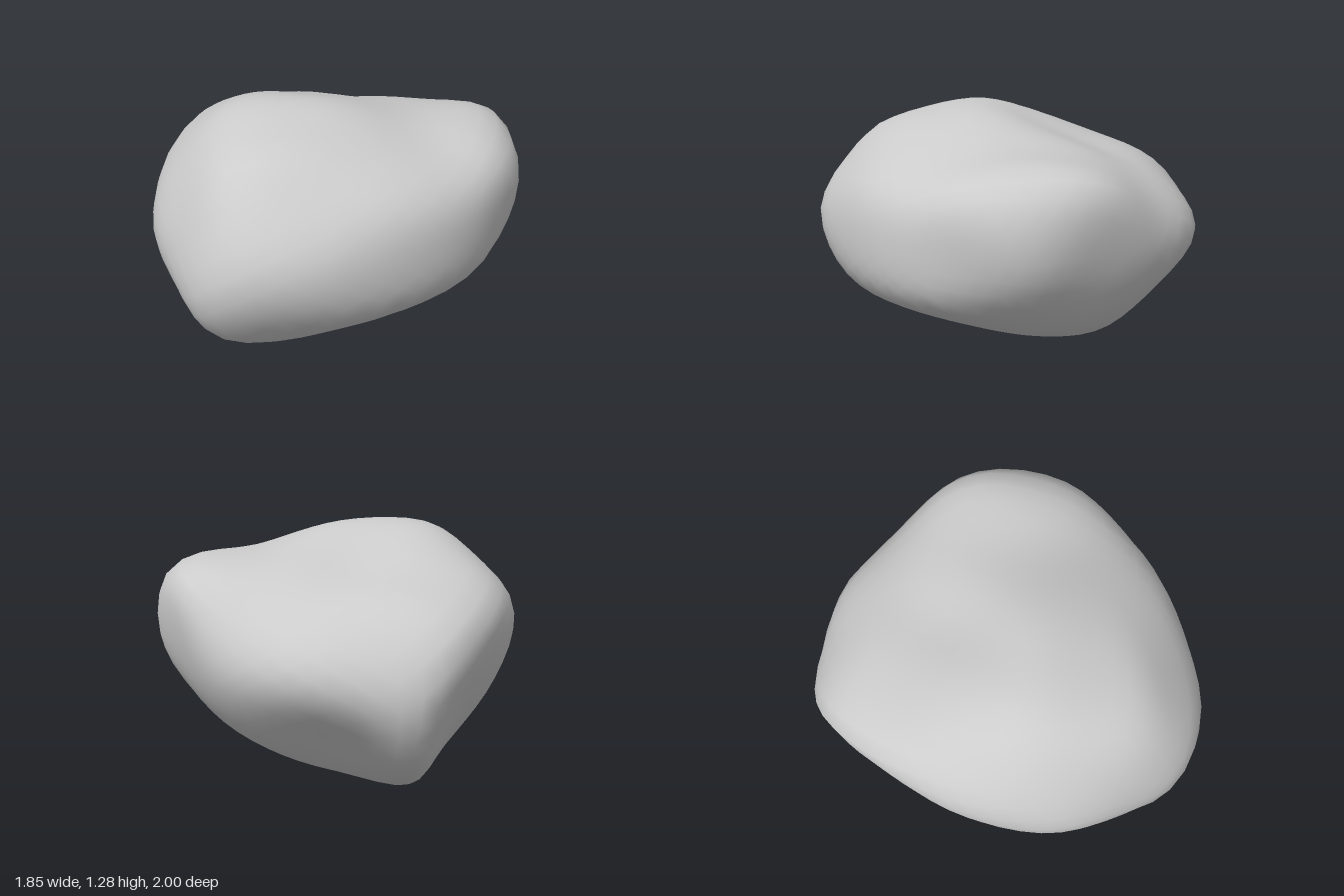
import * as THREE from 'three';
import { mergeVertices } from 'three/addons/utils/BufferGeometryUtils.js';

const HALF_HEIGHT = 0.645;
const POWER = 10; // higher gives sharper transitions between the worn faces

// Distance from the boulder's centre to its outline's tangent, every 22.5 degrees from the right, seen from a few sides
const OUTLINES = [
  { azimuth: 0, elevation: 0, reach: [.925, .945, .873, .703, .645, .752, .831, .922,
    .93, .868, .795, .74, .645, .57, .682, .82] },
  { azimuth: 90, elevation: 0, reach: [1, .924, .781, .602, .645, .721, .824, .966,
    1, .948, .795, .641, .645, .747, .894, .973] },
  { azimuth: 0, elevation: 90, reach: [.925, .89, .891, .942, 1, 1.04, .983, .904,
    .93, .983, 1.082, 1.078, 1, .881, .827, .879] },
  { azimuth: 45, elevation: 25, reach: [.89, .873, .792, .667, .69, .795, .87, .963,
    1.06, 1.056, .94, .759, .54, .614, .721, .82] },
  { azimuth: 225, elevation: 25, reach: [1.05, 1.013, .933, .805, .67, .793, .905, .938,
    .89, .852, .764, .799, .81, .789, .87, .994] },
  { azimuth: 135, elevation: -25, reach: [.98, .99, .884, .706, .71, .841, .891, .883,
    .85, .816, .757, .74, .79, .789, .785, .854] },
];

// Tangent planes all round one outline
function tangentPlanes({ azimuth, elevation, reach }) {
  const a = THREE.MathUtils.degToRad(azimuth), e = THREE.MathUtils.degToRad(elevation);
  const right = new THREE.Vector3(Math.cos(a), 0, -Math.sin(a));
  const up = new THREE.Vector3(-Math.sin(a) * Math.sin(e), Math.cos(e), -Math.cos(a) * Math.sin(e));
  return reach.map((r, i) => {
    const t = i * Math.PI / 8;
    const normal = right.clone().multiplyScalar(Math.cos(t)).addScaledVector(up, Math.sin(t));
    return { normal, reach: r, distance: r };
  });
}

// Rounded intersection of the planes, measured outwards along one direction
function surfacePoint(dir, planes) {
  let sum = 0;
  for (const { normal, distance } of planes) {
    const d = normal.dot(dir);
    if (d > 0) sum += Math.pow(d / distance, POWER);
  }
  return dir.clone().multiplyScalar(Math.pow(sum, -1 / POWER));
}

// Index of the point that lies furthest along a normal
function furthest(points, normal) {
  let best = 0, most = -Infinity;
  points.forEach((p, i) => {
    const d = p.dot(normal);
    if (d > most) { most = d; best = i; }
  });
  return best;
}

// Move each plane so that the rounded body comes near its outline there
function settlePlanes(planes, dirs) {
  for (let step = 0; step < 15; step++) {
    const points = dirs.map(d => surfacePoint(d, planes));
    for (const p of planes) {
      const got = points[furthest(points, p.normal)].dot(p.normal);
      p.distance = THREE.MathUtils.clamp(
        p.distance * Math.pow(p.reach / got, 0.7), p.reach * 0.9, p.reach * 1.6);
    }
  }
}

// Softly push or press the surface around each touching point until it meets its plane
function pressSurface(points, dirs, planes) {
  for (let step = 0; step < 40; step++) {
    for (const { normal, reach } of planes) {
      const i = furthest(points, normal);
      const push = 0.4 * (reach - points[i].dot(normal));
      points.forEach((p, j) => {
        p.addScaledVector(normal, push * Math.exp((dirs[i].dot(dirs[j]) - 1) / 0.07));
      });
    }
  }
}

// Worn hollows in the top: one running diagonally to the back, one beside the right-hand bump
function hollowDepth({ x, y, z }) {
  const along = (x + .08) * .5 - (z + .25) * .87;
  const across = (x + .08) * .87 + (z + .25) * .5;
  const diagonal = 0.035 * Math.exp(-((along / .4) ** 2) - (across / .2) ** 2);
  const saddle = 0.05 * Math.exp(-(((x - .27) ** 2) + (z + .02) ** 2) / .09);
  return (diagonal + saddle) * THREE.MathUtils.clamp(y * 3, 0, 1);
}

function boulderGeometry() {
  let geo = new THREE.IcosahedronGeometry(1, 10);
  geo.deleteAttribute('normal');
  geo.deleteAttribute('uv');
  geo = mergeVertices(geo, 1e-4);
  const pos = geo.attributes.position;
  const dirs = Array.from({ length: pos.count }, (_, i) =>
    new THREE.Vector3().fromBufferAttribute(pos, i).normalize());
  const planes = OUTLINES.flatMap(tangentPlanes);
  settlePlanes(planes, dirs);
  const points = dirs.map(d => surfacePoint(d, planes));
  pressSurface(points, dirs, planes);
  points.forEach((p, i) => pos.setXYZ(i, p.x, p.y - hollowDepth(p) + HALF_HEIGHT, p.z));
  geo.computeVertexNormals();
  return geo;
}

export function createModel() {
  const group = new THREE.Group();
  group.name = 'rock';
  const boulder = new THREE.Mesh(boulderGeometry(), new THREE.MeshStandardMaterial({ color: 0xcccccc }));
  boulder.name = 'boulder';
  group.add(boulder);
  return group;
}
